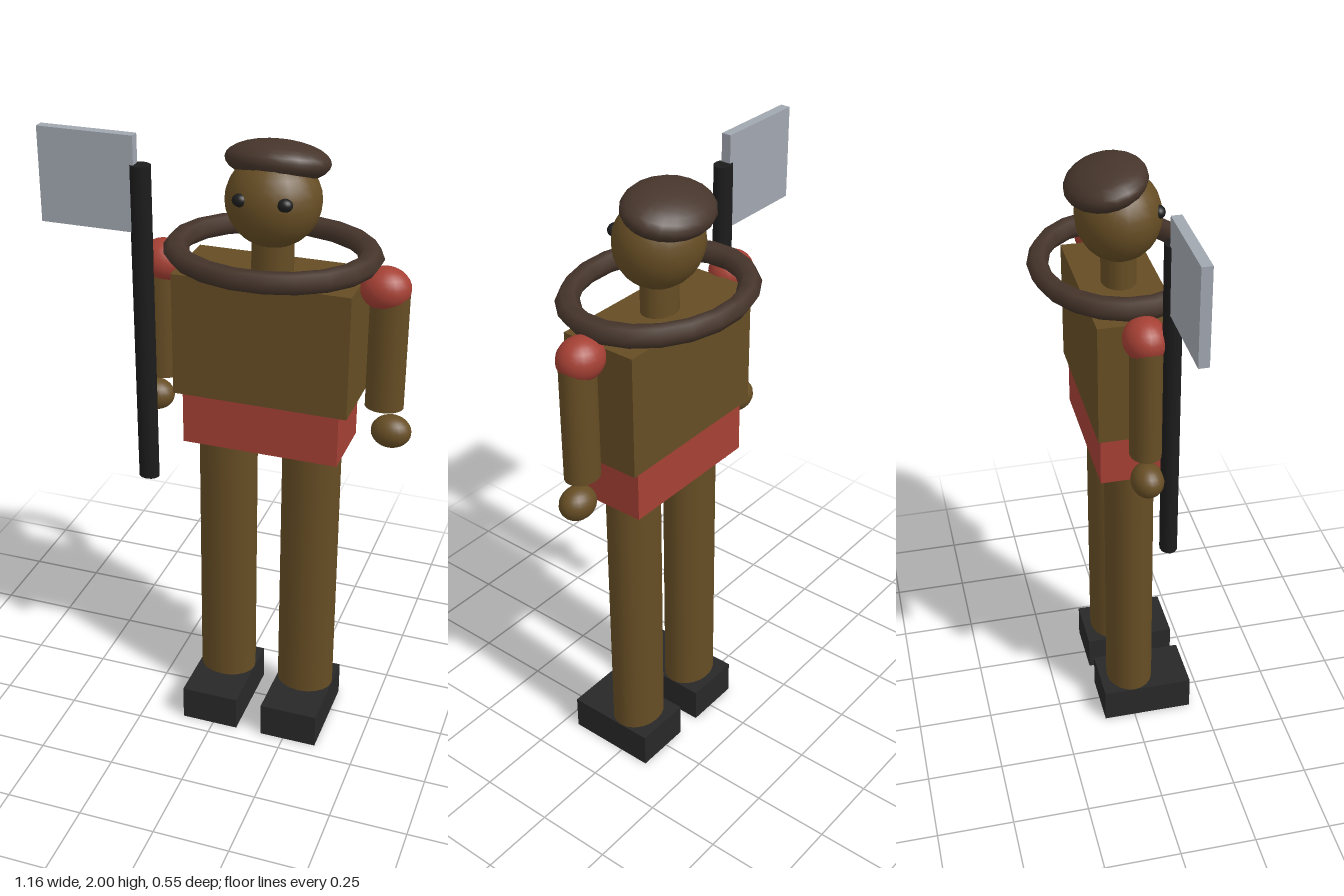
import * as THREE from 'three';

const mat = (name, color) => {
  const m = new THREE.MeshStandardMaterial({ color });
  m.name = name;
  return m;
};

export function createModel() {
  const brown = mat('brown', 0x664d24);
  const red = mat('red', 0xa54034);
  const hair = mat('dark brown', 0x46352b);
  const steel = mat('steel grey', 0xa1a7b0);
  const boot = mat('boot black', 0x282828);
  const black = mat('black', 0x1c1c1c);

  const root = new THREE.Group();
  root.name = 'axeman';
  // The figure stands off-centre to make room for the axe
  const body = new THREE.Group();
  body.name = 'body';
  body.position.x = 0.127;
  root.add(body);

  const add = (parent, name, geometry, material, x, y, z) => {
    const m = new THREE.Mesh(geometry, material);
    m.name = name;
    m.position.set(x, y, z);
    parent.add(m);
    return m;
  };
  const box = (w, h, d) => new THREE.BoxGeometry(w, h, d);
  const ball = (rx, ry, rz) => new THREE.SphereGeometry(1, 20, 14).scale(rx, ry, rz);
  const rod = (rx, h, rz, sides = 20) => new THREE.CylinderGeometry(1, 1, h, sides).scale(rx, 1, rz);

  // Trunk
  add(body, 'torso', box(0.555, 0.395, 0.252), brown, 0, 1.408, 0);
  add(body, 'hips', box(0.5, 0.172, 0.23), red, 0, 1.125, 0);
  add(body, 'neck', rod(0.065, 0.14, 0.054), brown, 0, 1.66, 0);

  // Head with a tilted cap of hair
  add(body, 'head', ball(0.145, 0.14, 0.132), brown, 0, 1.826, 0);
  add(body, 'hair', ball(0.159, 0.062, 0.127), hair, 0, 1.933, -0.037).rotation.x = -0.25;

  // Ring collar around the neck
  const ring = new THREE.TorusGeometry(0.243, 0.033, 6, 20)
    .rotateZ(Math.PI / 20).rotateX(Math.PI / 2).scale(1.213, 1, 1);
  add(body, 'collarRing', ring, hair, 0, 1.667, 0);

  // Paired parts
  for (const [side, s] of [['left', 1], ['right', -1]]) {
    add(body, side + 'Eye', ball(0.024, 0.02, 0.02), black, s * 0.067, 1.852, 0.107);
    add(body, side + 'Shoulder', ball(0.077, 0.066, 0.067), red, s * 0.347, 1.596, 0);
    add(body, side + 'Arm', rod(0.06, 0.385, 0.05), brown, s * 0.362, 1.405, 0);
    add(body, side + 'Hand', ball(0.063, 0.052, 0.051), brown, s * 0.388, 1.13, 0);
    add(body, side + 'Leg', rod(0.095, 0.93, 0.079), brown, s * 0.139, 0.577, 0);
    add(body, side + 'Boot', box(0.191, 0.118, 0.305), boot, s * 0.139, 0.059, 0.047);
  }

  // Axe held beside the right hand
  const axe = new THREE.Group();
  axe.name = 'axe';
  root.add(axe);
  add(axe, 'handle', rod(0.034, 1.048, 0.028, 12), black, -0.263, 1.387, 0.068);
  add(axe, 'blade', box(0.306, 0.296, 0.032), steel, -0.43, 1.852, 0.069);

  return root;
}
